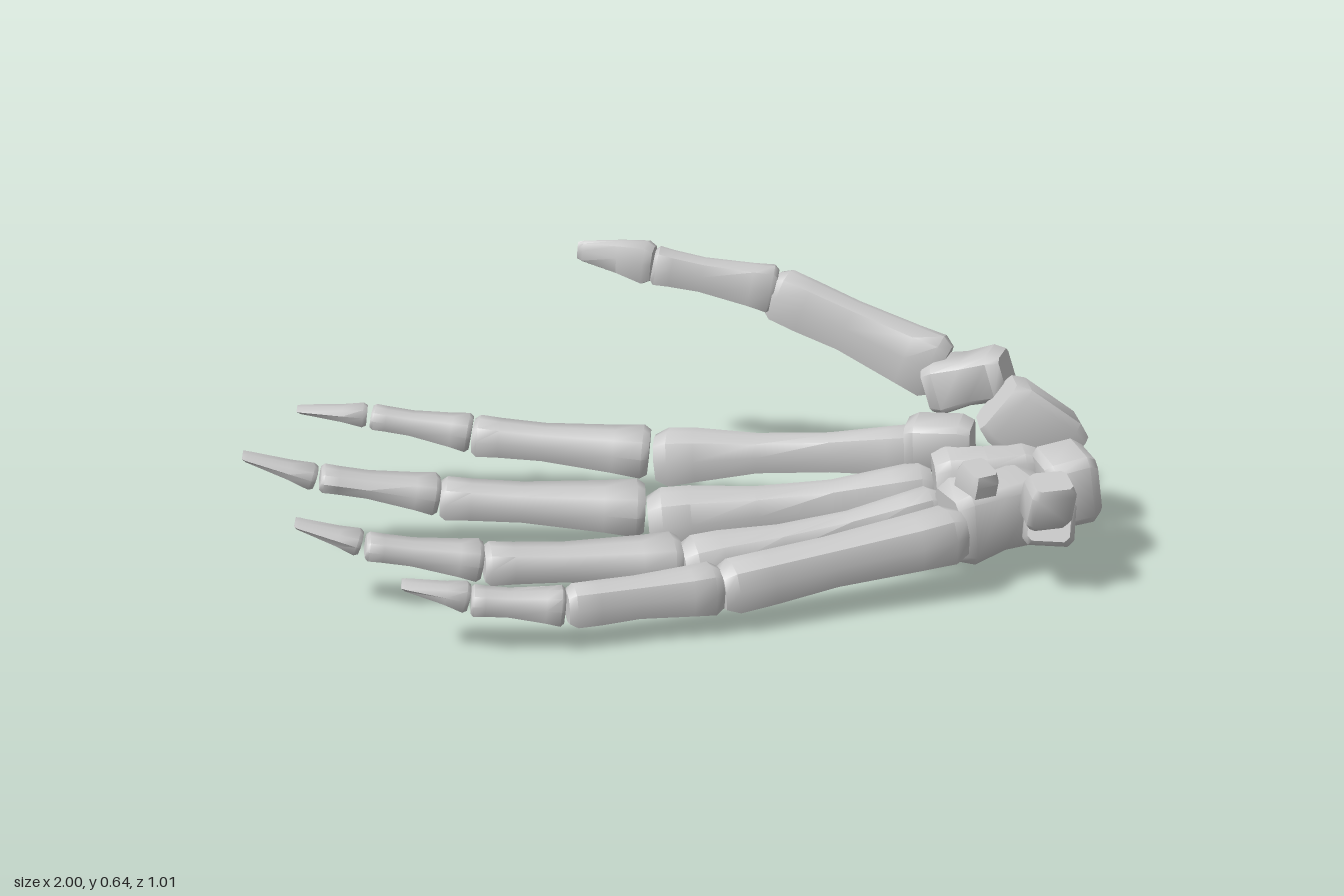
import * as THREE from 'three';
import { toCreasedNormals } from 'three/addons/utils/BufferGeometryUtils.js';

// Profiles along a bone: [position 0..1, width factor, height factor, lift factor]
const METACARPAL = [[0, 0.8, 0.82, 0], [0.04, 1, 1, 0], [0.14, 0.9, 0.92, 0], [0.35, 0.7, 0.74, 0],
  [0.62, 0.74, 0.7, 0.05], [0.85, 0.97, 0.92, 0.05], [0.95, 1, 1, 0], [1, 0.75, 0.78, 0]];
const STOUT = [[0, 0.75, 0.78, 0], [0.06, 1, 1, 0], [0.2, 1, 0.95, 0], [0.55, 0.9, 0.88, 0.03],
  [0.8, 0.97, 0.97, 0], [0.95, 1, 1, 0], [1, 0.8, 0.78, 0]];
const PHALANX = [[0, 0.85, 0.82, 0], [0.04, 1, 1, 0], [0.2, 0.95, 0.9, 0], [0.6, 0.85, 0.75, 0],
  [0.85, 0.92, 0.82, 0], [0.97, 0.97, 0.9, 0], [1, 0.85, 0.7, 0]];
const TIP = [[0, 0.88, 0.8, 0], [0.06, 1, 1, 0], [0.35, 0.9, 0.65, 0], [0.94, 0.75, 0.22, 0], [1, 0.65, 0.08, 0]];
const POINTED = [[0, 0.8, 0.8, 0], [0.1, 1, 1, 0], [0.45, 0.8, 0.76, 0.05], [0.92, 0.3, 0.5, 0], [1, 0.12, 0.4, 0]];
const CARPAL = [[0, 0.8, 0.82, 0], [0.15, 1, 0.97, 0], [0.82, 0.97, 1, 0], [1, 0.8, 0.8, 0]];
const WAISTED = [[0, 0.82, 0.85, 0], [0.15, 1, 1, 0], [0.5, 0.86, 0.88, 0], [0.85, 0.95, 0.92, 0], [1, 0.72, 0.72, 0]];

// Cross-sections: rounded with a flatter palm side for long bones, blocky for the wrist
const ROUND = [[1, 0.15], [0.74, 0.82], [0.1, 1], [-0.66, 0.84], [-1, 0.1], [-0.78, -0.82], [0, -1], [0.8, -0.8]];
const BLOCK = [[1, -0.7], [1, 0.72], [0.8, 0.97], [-0.7, 1], [-0.97, 0.78], [-1, -0.74], [-0.78, -1], [0.76, -0.97]];

const material = new THREE.MeshStandardMaterial({ color: 0xcccccc });

// Loft a bone from point a to point b; size blends from sa to sb, each [half width, half height]
function bone(name, section, profile, a, b, sa, sb = sa) {
  const A = new THREE.Vector3(...a), B = new THREE.Vector3(...b);
  const dir = B.clone().sub(A).normalize();
  const side = new THREE.Vector3(0, 1, 0).cross(dir).normalize();
  const up = new THREE.Vector3().crossVectors(dir, side);
  const n = section.length, pos = [], idx = [];
  for (const [t, fw, fh, lift] of profile) {
    const w = THREE.MathUtils.lerp(sa[0], sb[0], t), h = THREE.MathUtils.lerp(sa[1], sb[1], t);
    const c = A.clone().lerp(B, t).addScaledVector(up, lift * h);
    for (const [u, v] of section) {
      const p = c.clone().addScaledVector(side, u * w * fw).addScaledVector(up, v * h * fh);
      pos.push(p.x, p.y, p.z);
    }
  }
  const last = (profile.length - 1) * n;
  for (let r = 0; r < last; r += n) {
    for (let i = 0; i < n; i++) {
      const j = (i + 1) % n;
      idx.push(r + i, r + j, r + n + i, r + j, r + n + j, r + n + i);
    }
  }
  for (let i = 1; i < n - 1; i++) {
    idx.push(0, i + 1, i, last, last + i, last + i + 1);
  }
  const g = new THREE.BufferGeometry();
  g.setAttribute('position', new THREE.Float32BufferAttribute(pos, 3));
  g.setIndex(idx);
  const mesh = new THREE.Mesh(toCreasedNormals(g, 0.9), material);
  mesh.name = name;
  return mesh;
}

// Each finger: bones listed from the wrist outward as [name, profile, start, end, start size, end size]
const FINGERS = {
  indexFinger: [
    ['metacarpal', METACARPAL, [0.63, 0.2, -0.145], [-0.02, 0.148, -0.255], [0.058, 0.062], [0.072, 0.07]],
    ['proximalPhalanx', PHALANX, [-0.035, 0.145, -0.295], [-0.47, 0.182, -0.34], [0.078, 0.06], [0.06, 0.052]],
    ['middlePhalanx', PHALANX, [-0.475, 0.19, -0.335], [-0.72, 0.235, -0.35], [0.055, 0.045], [0.043, 0.03]],
    ['fingertip', TIP, [-0.73, 0.245, -0.333], [-0.9, 0.268, -0.33], [0.034, 0.028]]],
  middleFinger: [
    ['metacarpal', METACARPAL, [0.63, 0.13, -0.02], [-0.05, 0.078, -0.035], [0.072, 0.092], [0.078, 0.074]],
    ['proximalPhalanx', PHALANX, [-0.06, 0.11, -0.045], [-0.545, 0.145, -0.055], [0.086, 0.06], [0.06, 0.052]],
    ['middlePhalanx', PHALANX, [-0.55, 0.155, -0.055], [-0.825, 0.215, -0.035], [0.062, 0.045], [0.05, 0.03]],
    ['fingertip', TIP, [-0.835, 0.22, -0.025], [-1, 0.285, -0.017], [0.04, 0.028]]],
  ringFinger: [
    ['metacarpal', METACARPAL, [0.63, 0.14, 0.1], [0.02, 0.065, 0.185], [0.055, 0.078], [0.07, 0.063]],
    ['proximalPhalanx', PHALANX, [0.01, 0.085, 0.185], [-0.44, 0.112, 0.235], [0.075, 0.057], [0.058, 0.05]],
    ['middlePhalanx', PHALANX, [-0.445, 0.118, 0.23], [-0.705, 0.172, 0.25], [0.058, 0.044], [0.045, 0.03]],
    ['fingertip', TIP, [-0.715, 0.18, 0.25], [-0.86, 0.235, 0.25], [0.04, 0.026]]],
  littleFinger: [
    ['metacarpal', STOUT, [0.655, 0.165, 0.24], [0.09, 0.108, 0.385], [0.066, 0.066], [0.057, 0.06]],
    ['proximalPhalanx', STOUT, [0.09, 0.11, 0.38], [-0.255, 0.105, 0.445], [0.058, 0.058], [0.044, 0.048]],
    ['middlePhalanx', PHALANX, [-0.26, 0.11, 0.45], [-0.465, 0.133, 0.455], [0.048, 0.042], [0.045, 0.033]],
    ['fingertip', TIP, [-0.47, 0.14, 0.455], [-0.615, 0.18, 0.46], [0.038, 0.032]]],
  thumb: [
    ['metacarpal', STOUT, [0.68, 0.37, -0.235], [0.28, 0.52, -0.415], [0.058, 0.088], [0.055, 0.068]],
    ['proximalPhalanx', PHALANX, [0.285, 0.525, -0.41], [-0.015, 0.58, -0.455], [0.052, 0.062], [0.045, 0.055]],
    ['fingertip', POINTED, [-0.015, 0.585, -0.45], [-0.2, 0.605, -0.505], [0.045, 0.056]]],
};

// Wrist bones: name, profile, start, end, size
const WRIST = [
  ['trapezium', WAISTED, [0.65, 0.34, -0.215], [0.82, 0.405, -0.14], [0.068, 0.062]],
  ['trapezoid', CARPAL, [0.58, 0.24, -0.11], [0.73, 0.25, -0.06], [0.06, 0.06]],
  ['scaphoid', CARPAL, [0.78, 0.36, -0.055], [0.96, 0.225, -0.05], [0.056, 0.084]],
  ['capitate', WAISTED, [0.63, 0.17, 0.02], [0.88, 0.2, 0.03], [0.062, 0.09]],
  ['lunate', CARPAL, [0.865, 0.205, 0.11], [0.985, 0.225, 0.095], [0.078, 0.084]],
  ['hamate', WAISTED, [0.635, 0.155, 0.185], [0.86, 0.18, 0.11], [0.072, 0.09]],
  ['hamateHook', CARPAL, [0.69, 0.17, 0.165], [0.7, 0.3, 0.19], [0.038, 0.045]],
  ['triquetrum', CARPAL, [0.87, 0.16, 0.19], [0.85, 0.2, 0.28], [0.06, 0.055]],
  ['pisiform', CARPAL, [0.84, 0.2, 0.265], [0.845, 0.31, 0.295], [0.055, 0.042]],
];

export function createModel() {
  const model = new THREE.Group();
  model.name = 'handSkeleton';

  // Fingers and thumb
  for (const [name, bones] of Object.entries(FINGERS)) {
    const finger = new THREE.Group();
    finger.name = name;
    for (const [label, ...shape] of bones) finger.add(bone(label, ROUND, ...shape));
    model.add(finger);
  }

  // Wrist
  const wrist = new THREE.Group();
  wrist.name = 'wrist';
  for (const [label, ...shape] of WRIST) wrist.add(bone(label, BLOCK, ...shape));
  model.add(wrist);
  return model;
}
